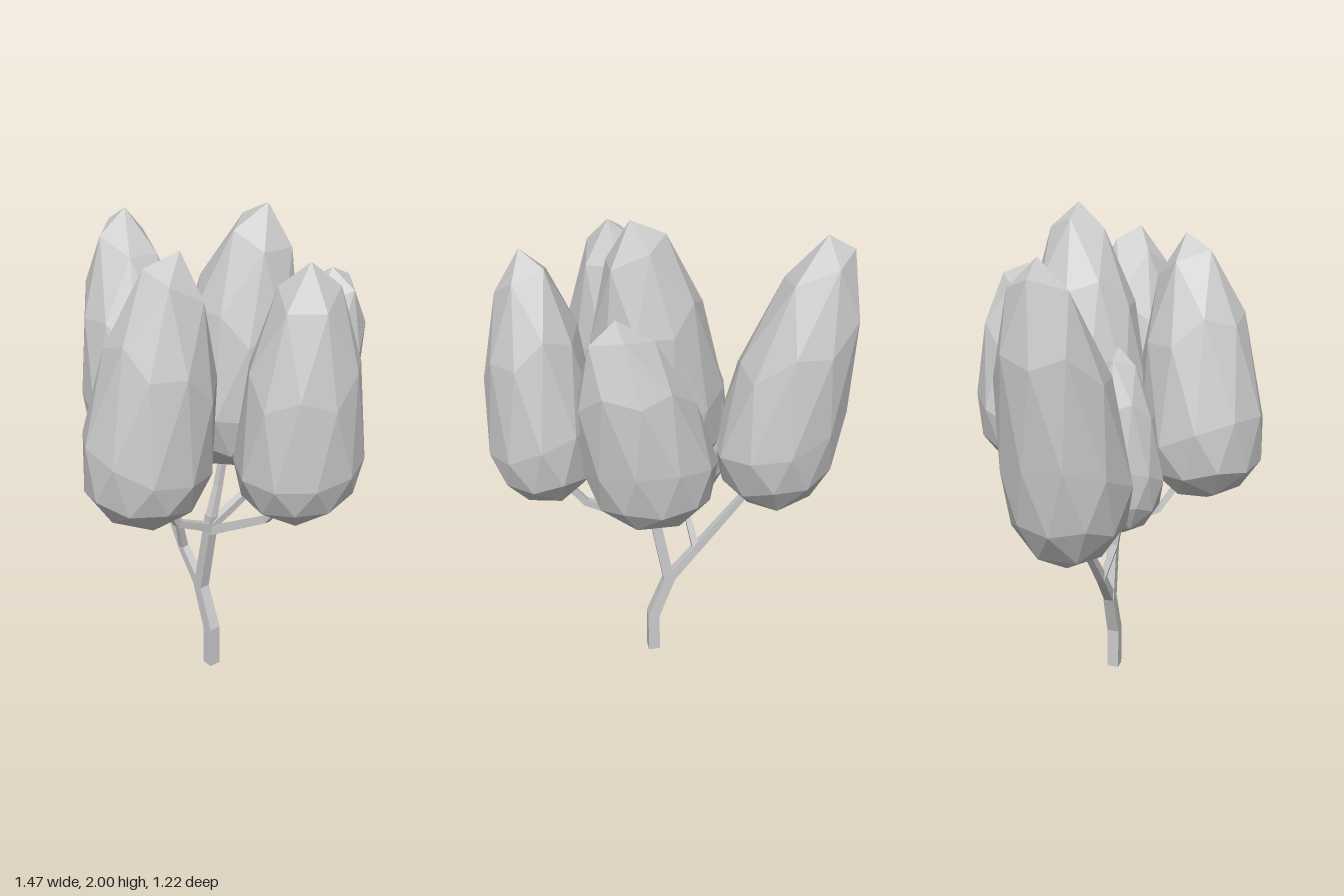
import * as THREE from 'three';
import { mergeVertices } from 'three/addons/utils/BufferGeometryUtils.js';

const V = (p) => new THREE.Vector3(...p);

// Square-section limb along points [x, y, z, halfWidth], mitred at the bends
function limb(points) {
  const pts = points.map((p) => V(p.slice(0, 3)));
  const span = pts[pts.length - 1].clone().sub(pts[0]);
  const ref = Math.abs(span.z) > Math.abs(span.x) ? V([1, 0, 0]) : V([0, 0, 1]);
  const pos = [], index = [];
  pts.forEach((p, i) => {
    const before = p.clone().sub(pts[Math.max(i - 1, 0)]).normalize();
    const after = pts[Math.min(i + 1, pts.length - 1)].clone().sub(p).normalize();
    const t = before.add(after).normalize();
    const u = t.clone().cross(ref).normalize();
    const v = u.clone().cross(t).normalize();
    const w = points[i][3];
    for (const [a, b] of [[1, 1], [-1, 1], [-1, -1], [1, -1]]) {
      const c = p.clone().addScaledVector(u, a * w).addScaledVector(v, b * w);
      pos.push(c.x, c.y, c.z);
    }
    if (i === 0) return;
    for (let k = 0; k < 4; k++) {
      const a = (i - 1) * 4 + k, b = (i - 1) * 4 + ((k + 1) % 4);
      index.push(a, a + 4, b, b, a + 4, b + 4);
    }
  });
  const e = pos.length / 3 - 4;
  index.push(0, 1, 2, 0, 2, 3, e, e + 2, e + 1, e, e + 3, e + 2);
  const g = new THREE.BufferGeometry();
  g.setAttribute('position', new THREE.Float32BufferAttribute(pos, 3));
  g.setIndex(index);
  const flat = g.toNonIndexed();
  flat.computeVertexNormals();
  return flat;
}

// Egg-shaped foliage: icosphere stretched upward, narrowed and leaned to its tip.
// The icosphere is tilted so the tip is a slanted facet; turn aims its high corner.
function foliage({ centre, tip, bottom, rx, rz, turn }) {
  const ico = new THREE.IcosahedronGeometry(1, 1);
  ico.deleteAttribute('normal');
  ico.deleteAttribute('uv');
  const g = mergeVertices(ico, 1e-4);
  g.rotateZ(-0.41);
  g.rotateY(turn);
  g.computeBoundingBox();
  const peak = g.boundingBox.max.y, low = -g.boundingBox.min.y;
  const p = g.attributes.position;
  const [cx, cy, cz] = centre;
  for (let i = 0; i < p.count; i++) {
    const h = p.getY(i), up = Math.max(h, 0) / peak;
    const taper = 1.03 - 0.13 * up * up;
    p.setXYZ(i,
      cx + p.getX(i) * rx * taper + (tip[0] - cx) * up,
      cy + (h > 0 ? up * (tip[1] - cy) : (h / low) * (cy - bottom)),
      cz + p.getZ(i) * rz * taper + (tip[2] - cz) * up);
  }
  const flat = g.toNonIndexed();
  flat.computeVertexNormals();
  return flat;
}

export function createModel() {
  const group = new THREE.Group();
  const material = new THREE.MeshStandardMaterial({
    color: 0xcccccc, flatShading: true, side: THREE.DoubleSide,
  });
  const add = (name, geometry) => {
    const mesh = new THREE.Mesh(geometry, material);
    mesh.name = name;
    group.add(mesh);
  };

  // Trunk and branches
  const limbs = {
    trunk: [[0.09, 0, 0, 0.025], [0.09, 0.18, 0, 0.025], [0.02, 0.36, 0, 0.023], [0.075, 0.65, 0, 0.021], [0.085, 0.73, 0, 0.019]],
    rightBranch: [[0.02, 0.36, 0, 0.02], [-0.1, 0.5, 0, 0.017], [-0.27, 0.72, -0.02, 0.014], [-0.36, 0.84, -0.03, 0.013]],
    smallBranch: [[-0.1, 0.5, 0, 0.015], [-0.07, 0.65, 0.05, 0.012], [-0.08, 0.82, 0.08, 0.011]],
    leftBranch: [[0.075, 0.65, 0, 0.018], [0.37, 0.81, -0.04, 0.014], [0.47, 0.94, -0.05, 0.012]],
    frontBranch: [[0.085, 0.67, 0, 0.018], [0.1, 0.76, 0.19, 0.014], [0.13, 0.94, 0.31, 0.012]],
    backBranch: [[0.085, 0.68, 0, 0.018], [0.13, 0.82, -0.19, 0.014], [0.16, 0.98, -0.34, 0.012]],
    centreBranch: [[0.085, 0.72, 0, 0.018], [0.08, 0.85, -0.04, 0.014], [0.08, 1.05, -0.08, 0.012]],
  };
  for (const [name, points] of Object.entries(limbs)) add(name, limb(points));

  // Foliage clumps
  const clumps = {
    rightFoliage: { centre: [-0.42, 1.04, -0.03], tip: [-0.61, 1.88, -0.08], bottom: 0.7, rx: 0.255, rz: 0.24, turn: Math.PI },
    backFoliage: { centre: [0.15, 1.12, -0.37], tip: [0.28, 1.735, -0.47], bottom: 0.89, rx: 0.245, rz: 0.235, turn: Math.PI / 2 },
    centreFoliage: { centre: [0.07, 1.24, -0.1], tip: [0.155, 2.0, -0.18], bottom: 0.93, rx: 0.25, rz: 0.24, turn: Math.PI },
    smallFoliage: { centre: [-0.08, 0.95, 0.09], tip: [-0.095, 1.48, 0.06], bottom: 0.72, rx: 0.165, rz: 0.155, turn: Math.PI },
    frontFoliage: { centre: [0.125, 1.09, 0.36], tip: [0.195, 1.89, 0.285], bottom: 0.83, rx: 0.245, rz: 0.25, turn: -2.09 },
    leftFoliage: { centre: [0.52, 1.12, -0.055], tip: [0.55, 1.875, -0.045], bottom: 0.87, rx: 0.215, rz: 0.255, turn: 2.4 },
  };
  for (const [name, spec] of Object.entries(clumps)) add(name, foliage(spec));

  return group;
}
